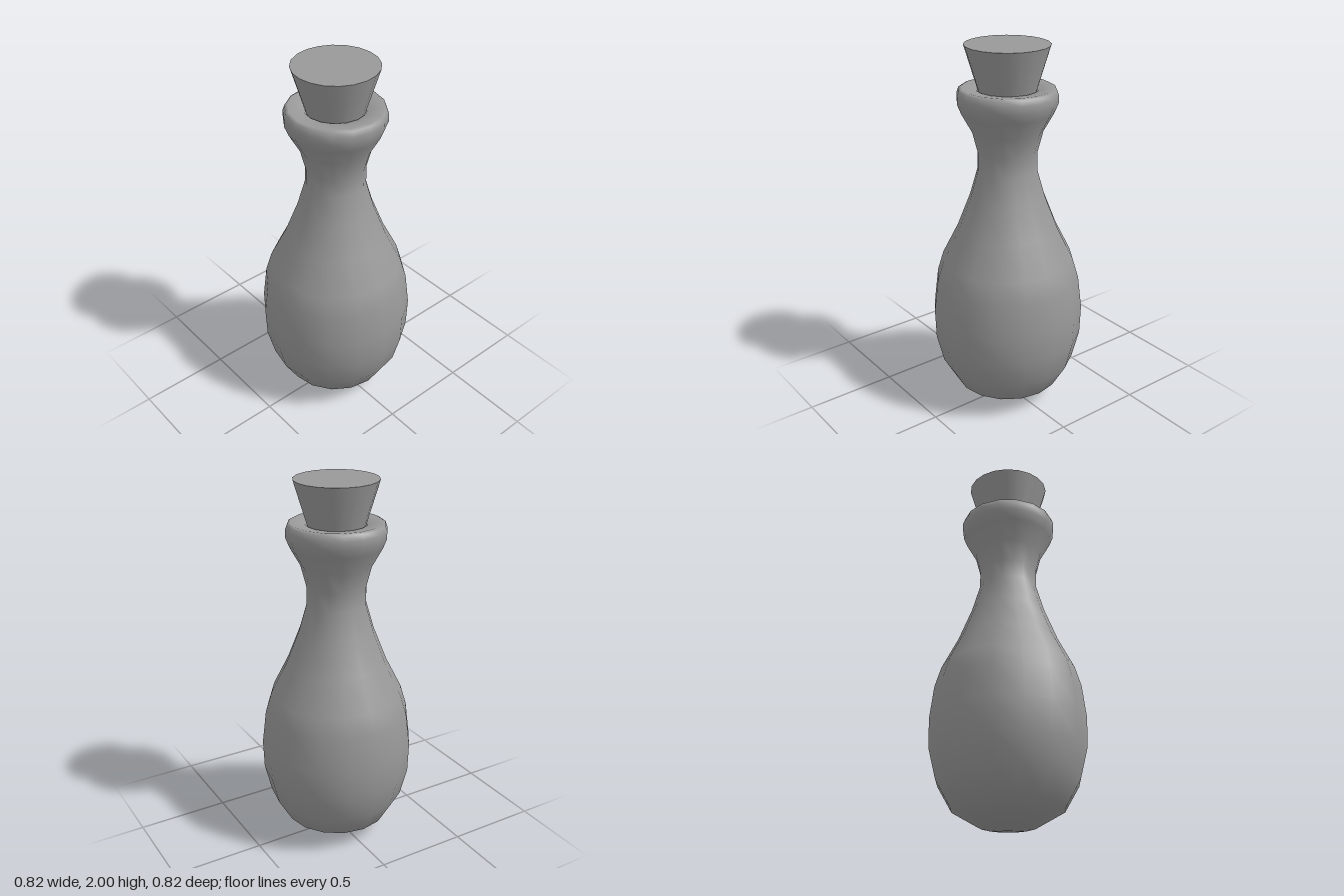
import * as THREE from 'three';

export function createModel() {
  const group = new THREE.Group();
  group.name = 'corkedBottle';
  const grey = new THREE.MeshStandardMaterial({ color: 0x999999 });
  grey.name = 'grey';

  // Pear-shaped body, narrow neck and rolled lip, closed beneath the stopper
  const profile = [
    [0, 0.005], [0.16, 0.033], [0.29, 0.11], [0.367, 0.245], [0.405, 0.4], [0.41, 0.56],
    [0.388, 0.74], [0.355, 0.85], [0.27, 1.02], [0.2, 1.2], [0.157, 1.35], [0.157, 1.45],
    [0.185, 1.56], [0.24, 1.66], [0.26, 1.71], [0.26, 1.75], [0.25, 1.777], [0.235, 1.785],
    [0.16, 1.775], [0.13, 1.74], [0, 1.74],
  ].map(([r, y]) => new THREE.Vector2(r, y));
  const bottle = new THREE.Mesh(new THREE.LatheGeometry(profile, 16), grey);
  bottle.name = 'bottle';
  group.add(bottle);

  // Tapered stopper seated in the mouth
  const stopper = new THREE.Mesh(new THREE.CylinderGeometry(0.219, 0.144, 0.25, 20), grey);
  stopper.position.y = 1.875;
  stopper.name = 'stopper';
  group.add(stopper);

  return group;
}
